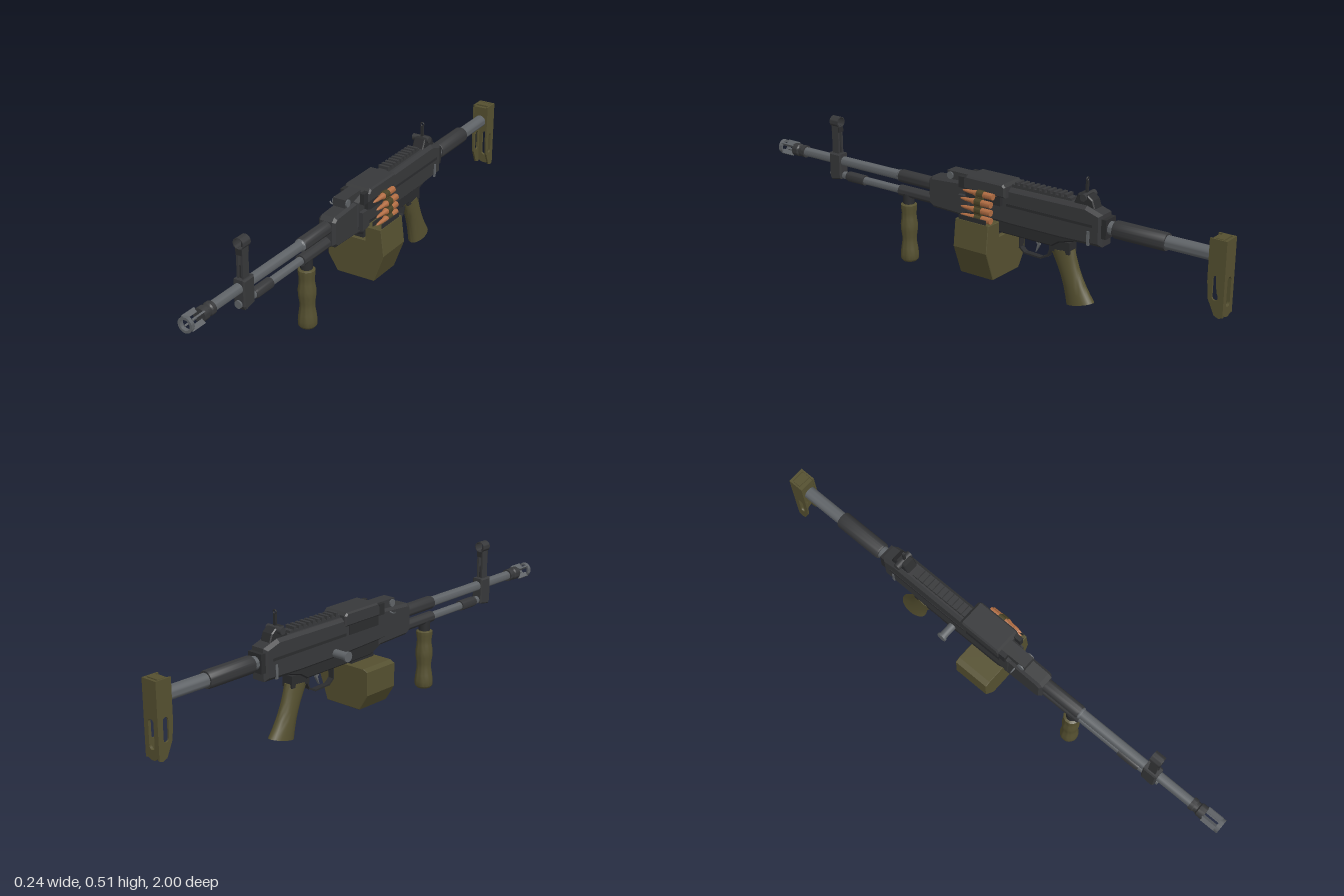
import * as THREE from 'three';
import { toCreasedNormals } from 'three/addons/utils/BufferGeometryUtils.js';

const paint = (name, color, side = THREE.FrontSide) =>
  Object.assign(new THREE.MeshStandardMaterial({ color, side }), { name });

export function createModel() {
  const black = paint('blackened steel', 0x37383a);
  const dark = paint('dark phosphate', 0x2b2c2e);
  const steel = paint('grey steel', 0x5f6367);
  const olive = paint('olive polymer', 0x555030);
  const copper = paint('copper', 0xb06c42);
  const link = paint('link brass', 0x4a4326);
  const CX = -0.005; // bore line offset
  const BORE = 0.335, GAS = 0.277;
  const model = new THREE.Group();
  model.name = 'machineGun';

  const add = (name, geo, mat, parent = model) => {
    const m = new THREE.Mesh(geo, mat);
    m.name = name;
    parent.add(m);
    return m;
  };
  const box = (name, mat, x0, x1, y0, y1, z0, z1) =>
    add(name, new THREE.BoxGeometry(x1 - x0, y1 - y0, z1 - z0)
      .translate((x0 + x1) / 2, (y0 + y1) / 2, (z0 + z1) / 2), mat);
  const lathe = (pts, n = 24) => toCreasedNormals(
    new THREE.LatheGeometry(pts.map(([h, r]) => new THREE.Vector2(r, h)), n), 0.6);
  // turned part along z, points are [z, radius] from back to front
  const turnZ = (name, mat, y, pts, x = CX, n = 24) =>
    add(name, lathe(pts, n).rotateX(Math.PI / 2).translate(x, y, 0), mat);
  const rodZ = (name, mat, y, r, z0, z1, x = CX, n = 24) =>
    turnZ(name, mat, y, [[z0, 0], [z0, r], [z1, r], [z1, 0]], x, n);
  const rodX = (name, mat, y, z, r, x0, x1) =>
    add(name, new THREE.CylinderGeometry(r, r, x1 - x0, 20).rotateZ(Math.PI / 2)
      .translate((x0 + x1) / 2, y, z), mat);
  const outline = pts => new THREE.Shape(pts.map(p => new THREE.Vector2(...p)));
  const slot = (u, y0, y1, r) => {
    const p = new THREE.Path();
    p.absarc(u, y0 + r, r, Math.PI, 2 * Math.PI, false);
    p.absarc(u, y1 - r, r, 0, Math.PI, false);
    p.closePath();
    return p;
  };
  const extrude = (shape, w, b) => new THREE.ExtrudeGeometry(shape, {
    depth: w - 2 * b, bevelEnabled: b > 0, bevelSize: b, bevelThickness: b,
    bevelOffset: -b, bevelSegments: 1, curveSegments: 12 }).translate(0, 0, b);
  // side profile in (z, y), extruded between x0 and x1
  const side = (name, mat, shape, x0, x1, b = 0) =>
    add(name, extrude(shape, x1 - x0, b).rotateY(-Math.PI / 2).translate(x1, 0, 0), mat);
  // front profile in (x, y), extruded between z0 and z1
  const front = (name, mat, shape, z0, z1, b = 0) =>
    add(name, extrude(shape, z1 - z0, b).translate(0, 0, z0), mat);

  // barrel and slotted flash hider
  turnZ('barrel', steel, BORE, [[0.1, 0], [0.1, 0.023], [0.38, 0.023], [0.385, 0.019], [0.88, 0.018], [0.88, 0]]);
  turnZ('muzzleCollar', black, BORE, [[0.87, 0], [0.87, 0.024], [0.885, 0.024], [0.89, 0.02],
    [0.9, 0.02], [0.905, 0.025], [0.93, 0.025], [0.93, 0]]);
  turnZ('muzzleRing', steel, BORE, [[0.985, 0.019], [0.985, 0.027], [1, 0.028], [1, 0.019], [0.985, 0.019]]);
  for (let i = 0; i < 4; i++) {
    const a = Math.PI / 4 + i * Math.PI / 2;
    add('muzzleProng', new THREE.BoxGeometry(0.006, 0.018, 0.06).translate(0, 0.022, 0.958)
      .rotateZ(a).translate(CX, BORE, 0), steel);
  }
  turnZ('barrelSleeve', black, BORE, [[0.22, 0], [0.22, 0.025], [0.37, 0.025], [0.38, 0.022], [0.38, 0]]);

  // gas cylinder under the barrel
  rodZ('gasTube', steel, GAS, 0.015, 0.1, 0.7);
  turnZ('gasCollar', black, GAS, [[0.56, 0], [0.56, 0.02], [0.64, 0.02], [0.65, 0.017], [0.65, 0]]);
  rodZ('gasSleeve', black, GAS, 0.021, 0.2, 0.38);
  rodZ('gasRegulator', steel, GAS, 0.014, 0.69, 0.735);

  // front sight
  side('frontSightBlock', black, outline([[0.67, 0.265], [0.72, 0.255], [0.728, 0.27], [0.728, 0.365],
    [0.67, 0.365]]), CX - 0.023, CX + 0.023, 0.005);
  for (const s of [-1, 1])
    box('frontSightPost', black, CX + s * 0.009 - 0.004, CX + s * 0.009 + 0.004, 0.36, 0.474, 0.685, 0.717);
  box('frontSightBridge', dark, CX - 0.012, CX + 0.012, 0.45, 0.472, 0.68, 0.72);
  box('frontSightWeb', dark, CX - 0.008, CX + 0.008, 0.36, 0.41, 0.69, 0.712);
  turnZ('frontSightHood', black, 0.49, [[0.68, 0.018], [0.68, 0.021], [0.72, 0.021], [0.72, 0.018], [0.68, 0.018]]);
  box('frontSightBlade', dark, CX - 0.002, CX + 0.002, 0.468, 0.49, 0.698, 0.702);

  // receiver
  side('trunnion', black, outline([[0.04, 0.25], [0.2, 0.255], [0.22, 0.27], [0.22, 0.36], [0.205, 0.375],
    [0.04, 0.385]]), -0.04, 0.03, 0.01);
  side('receiver', black, outline([[0.08, 0.27], [0.08, 0.385], [0.03, 0.4], [-0.47, 0.405], [-0.535, 0.385],
    [-0.535, 0.268], [-0.37, 0.262], [-0.16, 0.262]]), -0.042, 0.034, 0.012);
  side('lowerReceiver', dark, outline([[0.06, 0.29], [-0.42, 0.29], [-0.42, 0.262], [-0.36, 0.245], [-0.33, 0.225],
    [0.0, 0.225], [0.06, 0.25]]), -0.034, 0.026, 0.005);
  for (const x of [-0.044, 0.032]) {
    box('sideRib', dark, x, x + 0.004, 0.335, 0.345, -0.5, -0.14);
    box('rearSideStrip', steel, x, x + 0.006, 0.268, 0.32, -0.49, -0.48);
  }

  // feed cover with latch lugs
  side('feedCover', black, outline([[0.035, 0.37], [0.035, 0.405], [0.022, 0.421], [-0.14, 0.421], [-0.15, 0.41],
    [-0.15, 0.37]]), -0.05, 0.058, 0.006);
  box('feedTray', dark, -0.045, 0.05, 0.335, 0.372, -0.125, 0.03);
  box('coverHinge', black, -0.03, 0.02, 0.38, 0.412, 0.03, 0.135);
  rodX('hingePin', steel, 0.395, 0.12, 0.014, -0.035, 0.025);
  for (const x of [-0.048, 0.034]) box('coverLug', dark, x, x + 0.018, 0.37, 0.412, 0.03, 0.06);
  box('feedBracket', black, 0.03, 0.05, 0.27, 0.34, 0.02, 0.065);
  add('latchHook', new THREE.TubeGeometry(new THREE.CatmullRomCurve3([[-0.035, 0.368], [-0.06, 0.366],
    [-0.067, 0.374]].map(([x, y]) => new THREE.Vector3(x, y, 0.1))), 10, 0.003, 8), steel);

  // top rail
  box('railBase', black, CX - 0.018, CX + 0.018, 0.395, 0.413, -0.4, -0.15);
  for (let i = 0; i < 10; i++)
    box('railTooth', black, CX - 0.021, CX + 0.021, 0.41, 0.424, -0.176 - i * 0.023, -0.164 - i * 0.023);

  // rear sight
  side('rearSightBase', dark, outline([[-0.41, 0.395], [-0.5, 0.395], [-0.49, 0.425], [-0.47, 0.44],
    [-0.43, 0.44]]), -0.028, 0.02, 0.004);
  rodX('sightDrum', black, 0.43, -0.455, 0.013, -0.045, 0.026);
  box('rearSightLeaf', dark, CX - 0.005, CX + 0.005, 0.43, 0.484, -0.456, -0.448);
  add('rearSightRing', new THREE.TorusGeometry(0.0065, 0.0025, 8, 20).translate(CX, 0.49, -0.452), dark);

  // charging handle
  rodX('chargingHandle', steel, 0.285, -0.196, 0.015, -0.098, -0.03);
  rodX('chargingKnob', steel, 0.285, -0.196, 0.019, -0.104, -0.096);

  // stock tube and butt
  rodZ('stockTube', steel, BORE, 0.024, -0.96, -0.52);
  turnZ('stockSleeve', black, BORE, [[-0.77, 0], [-0.77, 0.03], [-0.765, 0.032], [-0.575, 0.032], [-0.57, 0.03], [-0.57, 0]]);
  box('stockMount', dark, -0.036, 0.026, 0.3, 0.37, -0.55, -0.53);
  box('buttBlock', olive, -0.037, 0.027, 0.295, 0.395, -0.995, -0.94);
  box('buttCap', olive, -0.03, 0.02, 0.39, 0.401, -0.985, -0.955);
  for (const x of [-0.038, 0.021]) {
    const cheek = outline([[-1, 0.4], [-1, 0.135], [-0.985, 0.13], [-0.968, 0.137], [-0.944, 0.19], [-0.938, 0.25], [-0.938, 0.4]]);
    cheek.holes.push(slot(-0.968, 0.19, 0.275, 0.011));
    side('buttCheek', olive, cheek, x, x + 0.007);
  }
  const pad = new THREE.Shape();
  pad.moveTo(0.028, 0.4);
  pad.lineTo(-0.038, 0.4);
  pad.lineTo(-0.038, 0.163);
  pad.absarc(CX, 0.163, 0.033, Math.PI, 2 * Math.PI, false);
  pad.holes.push(slot(CX, 0.165, 0.27, 0.013));
  front('buttPad', olive, pad, -1, -0.99);

  // fore grip
  add('foreGrip', lathe([[0.002, 0], [0.002, 0.028], [0.01, 0.034], [0.03, 0.035], [0.055, 0.032], [0.08, 0.028],
    [0.1, 0.028], [0.125, 0.032], [0.15, 0.033], [0.175, 0.029], [0.195, 0.028], [0.215, 0.031], [0.228, 0.031],
    [0.232, 0.024], [0.232, 0]], 28).translate(CX, 0, 0.343), olive);
  add('foreGripMount', new THREE.CylinderGeometry(0.022, 0.022, 0.045, 20).translate(CX, 0.25, 0.343), dark);

  // pistol grip from stacked rounded sections
  const grip = new THREE.CylinderGeometry(1, 1, 1, 24, 6);
  const gp = grip.attributes.position;
  for (let i = 0; i < gp.count; i++) {
    const t = 0.5 - gp.getY(i); // 0 at top, 1 at bottom
    const w = 0.026 + 0.006 * t * t, d = 0.05 - 0.012 * Math.sin(t * Math.PI) + 0.004 * t;
    const z = gp.getZ(i) * d;
    gp.setXYZ(i, CX + gp.getX(i) * w, 0.215 - 0.188 * t - z * (0.1 + 0.15 * t), -0.358 - 0.078 * t + z);
  }
  add('pistolGrip', toCreasedNormals(grip, 0.7), olive);
  box('gripBackstrap', dark, -0.028, 0.018, 0.205, 0.25, -0.4, -0.315);

  // trigger and guard
  const guard = [[0.228, -0.18], [0.18, -0.18], [0.163, -0.2], [0.16, -0.27], [0.175, -0.3], [0.2, -0.31]];
  for (let i = 0; i + 1 < guard.length; i++) {
    const [[y0, z0], [y1, z1]] = [guard[i], guard[i + 1]];
    add('triggerGuard', new THREE.BoxGeometry(0.022, 0.006, Math.hypot(y1 - y0, z1 - z0) + 0.005)
      .rotateX(-Math.atan2(y1 - y0, z1 - z0)).translate(CX, (y0 + y1) / 2, (z0 + z1) / 2), dark);
  }
  side('trigger', steel, outline([[-0.235, 0.23], [-0.262, 0.23], [-0.262, 0.205], [-0.245, 0.175],
    [-0.253, 0.205]]), CX - 0.005, CX + 0.005);

  // ammunition box
  front('ammoBox', olive, outline([[-0.12, 0.12], [-0.08, 0.058], [0.076, 0.058], [0.118, 0.17], [0.106, 0.273],
    [0.04, 0.273], [0.04, 0.217], [-0.1, 0.217], [-0.12, 0.208]]), -0.115, 0.033, 0.002);
  box('boxHanger', dark, -0.03, 0.025, 0.21, 0.24, -0.1, 0.02);
  for (const x of [0.063, 0.1]) box('boxLip', dark, x, x + 0.003, 0.268, 0.29, -0.1, 0.02);

  // cartridge belt, bullets forward
  [[0.045, 0.378], [0.07, 0.372], [0.083, 0.345], [0.083, 0.315], [0.083, 0.285]].forEach(([x, y]) => {
    turnZ('cartridge', copper, y, [[-0.11, 0], [-0.11, 0.012], [-0.035, 0.012], [-0.022, 0.008], [0, 0.007],
      [0.02, 0.004], [0.028, 0]], x, 16);
    turnZ('beltLink', link, y, [[-0.07, 0], [-0.07, 0.014], [-0.042, 0.014], [-0.042, 0]], x, 16);
  });
  [[0.077, 0.358], [0.083, 0.33], [0.083, 0.3]].forEach(([x, y]) =>
    box('linkJoint', link, x - 0.007, x + 0.007, y - 0.006, y + 0.006, -0.07, -0.04));
  return model;
}
